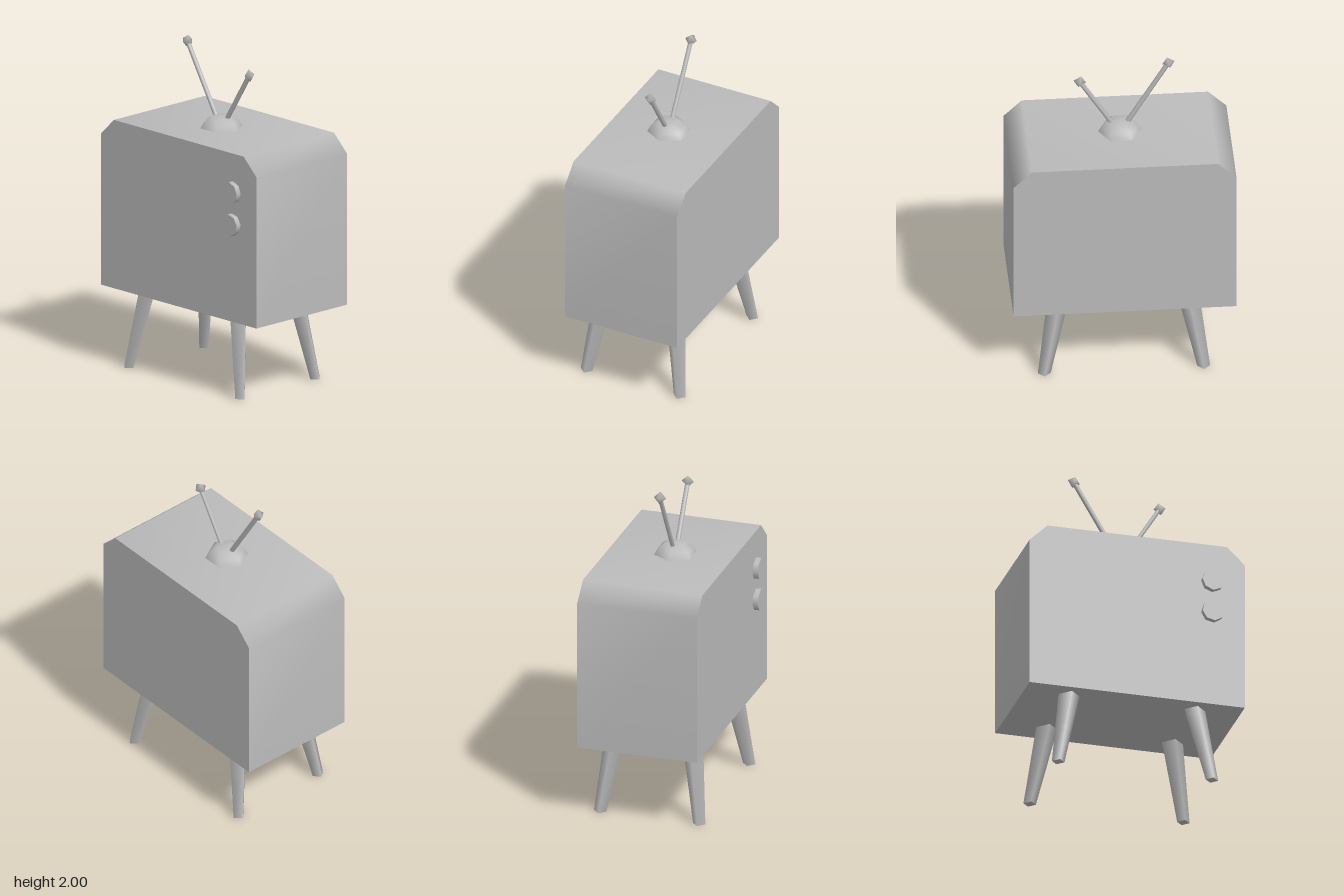
import * as THREE from 'three';

const grey = new THREE.MeshStandardMaterial({ color: 0xbbbbbb });
grey.name = 'grey';

function part(name, geometry, parent) {
  const mesh = new THREE.Mesh(geometry, grey);
  mesh.name = name;
  parent.add(mesh);
  return mesh;
}

// Cabinet outline seen from the front, anticlockwise from the bottom right
const OUTLINE = [
  [0.655, 0.47], [0.655, 1.39], [0.547, 1.495],
  [-0.547, 1.495], [-0.655, 1.39], [-0.655, 0.47],
];
const FRONT = 0.352, BACK = -0.385;

// Sides and top as one smooth strip running over the cut corners
function shellGeometry() {
  const positions = [], index = [];
  OUTLINE.forEach(([x, y], i) => {
    positions.push(x, y, FRONT, x, y, BACK);
    if (i > 0) {
      const a = 2 * (i - 1);
      index.push(a, a + 1, a + 3, a, a + 3, a + 2);
    }
  });
  const g = new THREE.BufferGeometry();
  g.setAttribute('position', new THREE.Float32BufferAttribute(positions, 3));
  g.setIndex(index);
  g.computeVertexNormals();
  return g;
}

// Four-sided tapered leg, slanted but cut level at both ends
function legGeometry(dx, dz) {
  const h = 0.47;
  const slant = new THREE.Matrix4().makeBasis(
    new THREE.Vector3(1, 0, 0),
    new THREE.Vector3(dx / h, 1, dz / h),
    new THREE.Vector3(0, 0, 1));
  return new THREE.CylinderGeometry(0.064, 0.038, h, 4).applyMatrix4(slant);
}

export function createModel() {
  const model = new THREE.Group();
  model.name = 'television';

  // Cabinet
  const cabinet = new THREE.Group();
  cabinet.name = 'cabinet';
  model.add(cabinet);
  part('cabinetShell', shellGeometry(), cabinet);
  const face = new THREE.ShapeGeometry(new THREE.Shape(OUTLINE.map(([x, y]) => new THREE.Vector2(x, y))));
  part('cabinetFront', face, cabinet).position.z = FRONT;
  const back = part('cabinetBack', face, cabinet);
  back.rotation.y = Math.PI;
  back.position.z = BACK;
  const floor = part('cabinetFloor', new THREE.PlaneGeometry(1.31, FRONT - BACK), cabinet);
  floor.rotation.x = Math.PI / 2;
  floor.position.set(0, 0.47, (FRONT + BACK) / 2);

  // Splayed legs
  for (const sx of [-1, 1]) {
    for (const sz of [-1, 1]) {
      const leg = part('leg', legGeometry(-0.085 * sx, -0.067 * sz), model);
      leg.position.set(0.4255 * sx, 0.235, 0.272 * sz);
    }
  }

  // Tuning knobs
  [[1.26, 0], [1.063, 0.15]].forEach(([y, turn]) => {
    const g = new THREE.CylinderGeometry(0.067, 0.067, 0.04, 8).rotateX(Math.PI / 2);
    const knob = part('knob', g, model);
    knob.position.set(0.456, y, 0.365);
    knob.rotation.z = turn;
  });

  // Aerial: six-sided dome, two rods and faceted tips
  const aerial = new THREE.Group();
  aerial.name = 'aerial';
  aerial.position.z = 0.004;
  model.add(aerial);
  const dome = [[0.13, 1.49], [0.108, 1.53], [0.062, 1.563], [0, 1.565]];
  const domeGeometry = new THREE.LatheGeometry(dome.map(([r, y]) => new THREE.Vector2(r, y)), 6);
  part('aerialBase', domeGeometry.rotateY(Math.PI / 6), aerial);

  [[-0.03, 1.53, -0.287, 1.963], [0.035, 1.535, 0.235, 1.856]].forEach(([x0, y0, x1, y1]) => {
    const lean = Math.atan2(x0 - x1, y1 - y0);
    const length = Math.hypot(x1 - x0, y1 - y0);
    const rod = part('aerialRod', new THREE.CylinderGeometry(0.0145, 0.0145, length, 6), aerial);
    rod.position.set((x0 + x1) / 2, (y0 + y1) / 2, 0);
    rod.rotation.z = lean;
    const tip = part('aerialTip', new THREE.SphereGeometry(0.038, 4, 2), aerial);
    tip.position.set(x1, y1, 0);
    tip.rotation.z = lean + Math.PI / 4;
  });

  return model;
}
